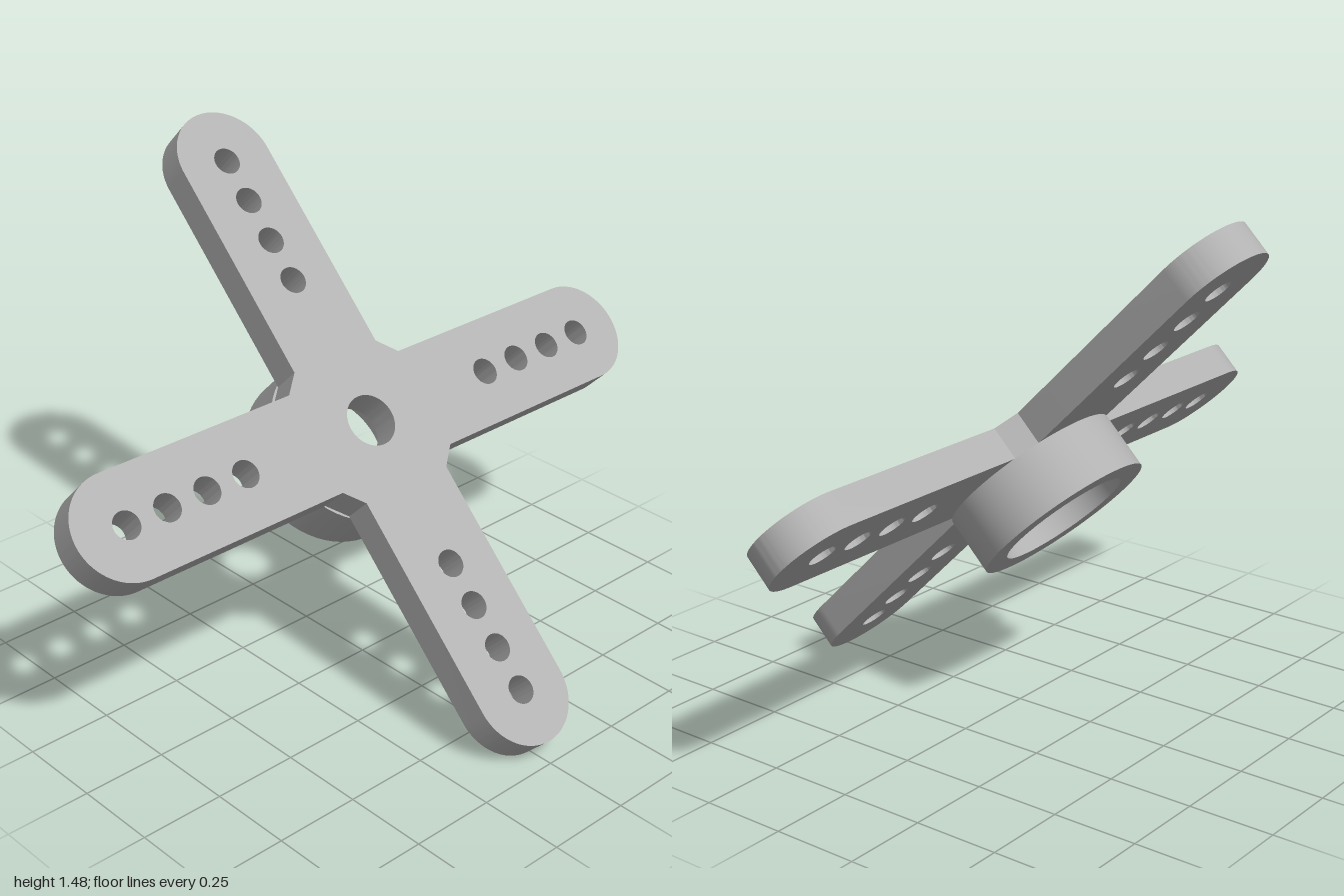
import * as THREE from 'three';
import { toCreasedNormals } from 'three/addons/utils/BufferGeometryUtils.js';

const ARM = 1, HALF = 0.152, CORNER = 0.205, THICK = 0.1, HUB_DEPTH = 0.268;

function hole(x, y, r) {
  return new THREE.Path().absarc(x, y, r, 0, Math.PI * 2, true);
}

function extrude(shape, depth) {
  const g = new THREE.ExtrudeGeometry(shape, { depth, bevelEnabled: false, curveSegments: 32 });
  return toCreasedNormals(g, 0.5);
}

// Four round-ended arms joined by small chamfers, with drilled holes
function crossShape() {
  const shape = new THREE.Shape();
  for (let i = 0; i < 4; i++) {
    const a = i * Math.PI / 2, c = Math.cos(a), s = Math.sin(a);
    const at = (x, y) => [x * c - y * s, x * s + y * c];
    if (i === 0) shape.moveTo(...at(CORNER, -HALF));
    else shape.lineTo(...at(CORNER, -HALF));
    shape.lineTo(...at(ARM - HALF, -HALF));
    const [cx, cy] = at(ARM - HALF, 0);
    shape.absarc(cx, cy, HALF, a - Math.PI / 2, a + Math.PI / 2, false);
    shape.lineTo(...at(CORNER, HALF));
    for (const d of [0.452, 0.582, 0.713, 0.843]) {
      shape.holes.push(hole(...at(d, 0), 0.04));
    }
  }
  shape.closePath();
  shape.holes.push(hole(0, 0, 0.076));
  return shape;
}

export function createModel() {
  const grey = new THREE.MeshStandardMaterial({ color: 0xb2b2b2 });
  grey.name = 'grey plastic';

  const group = new THREE.Group();
  group.name = 'crossHorn';

  // Flat cross, its top face on local z = 0
  const plate = new THREE.Mesh(extrude(crossShape(), THICK), grey);
  plate.name = 'crossPlate';
  plate.position.z = -THICK;

  // Hollow round hub under the cross
  const ring = new THREE.Shape().absarc(0, 0, 0.26, 0, Math.PI * 2, false);
  ring.holes.push(hole(0, 0, 0.19));
  const hub = new THREE.Mesh(extrude(ring, HUB_DEPTH - THICK), grey);
  hub.name = 'hub';
  hub.position.z = -HUB_DEPTH;

  // Tilt the whole part 45 degrees: its top looks towards +x and +y
  const tilted = new THREE.Group();
  tilted.name = 'tiltedHorn';
  const k = Math.SQRT1_2;
  tilted.quaternion.setFromRotationMatrix(new THREE.Matrix4().makeBasis(
    new THREE.Vector3(k, -k, 0), new THREE.Vector3(0, 0, -1), new THREE.Vector3(k, k, 0)));
  tilted.position.set(THICK * k / 2, (ARM + THICK) * k, 0);
  tilted.add(plate, hub);
  group.add(tilted);
  return group;
}
